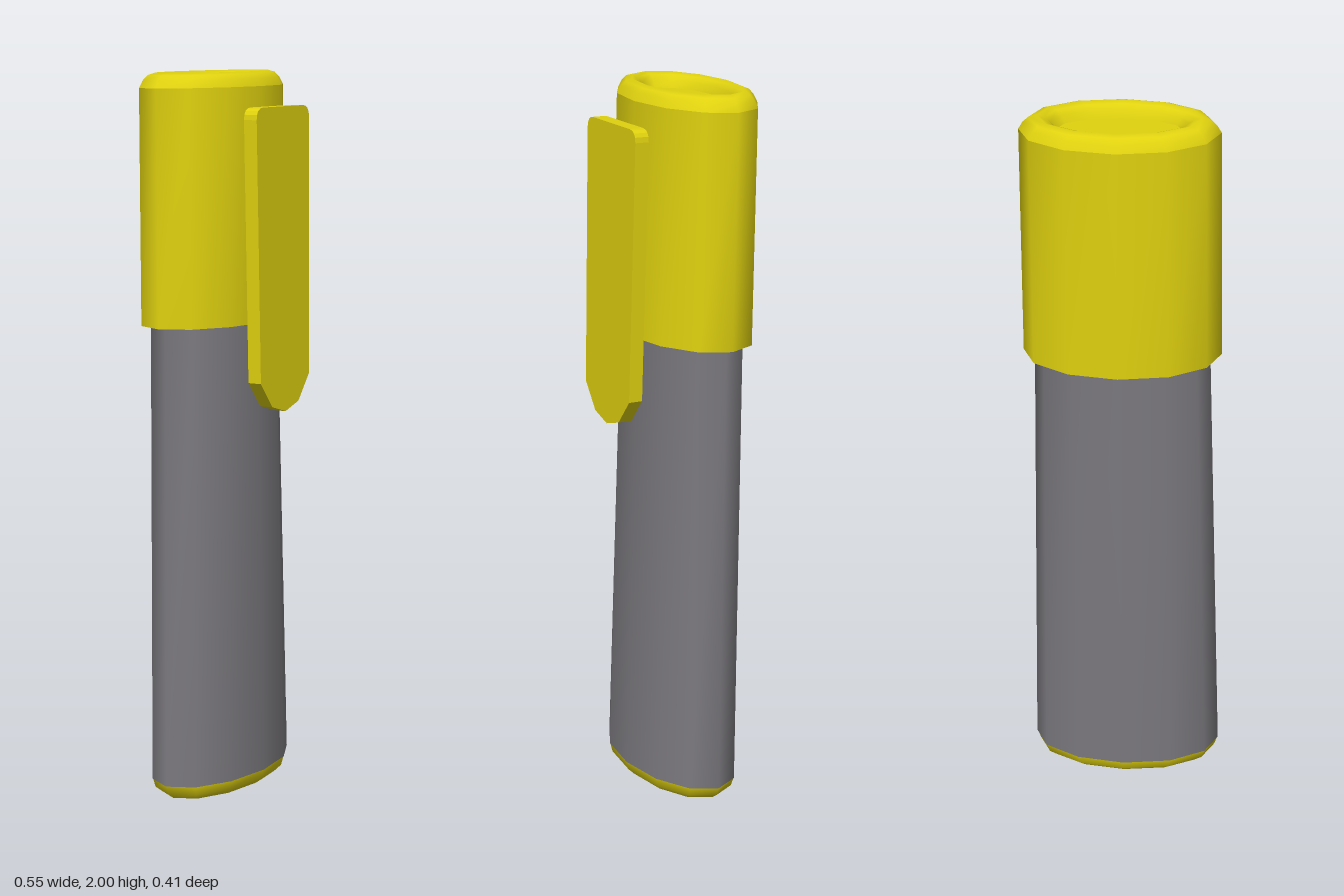
import * as THREE from 'three';
import { mergeGeometries } from 'three/addons/utils/BufferGeometryUtils.js';

const SIDES = 12;

// Smooth strip through elliptical rings [halfX, halfZ, y]
function strip(rings) {
  const pos = [], index = [];
  for (const [a, b, y] of rings) {
    for (let i = 0; i < SIDES; i++) {
      const t = (i / SIDES) * Math.PI * 2;
      pos.push(a * Math.cos(t), y, b * Math.sin(t));
    }
  }
  for (let r = 0; r < rings.length - 1; r++) {
    for (let i = 0; i < SIDES; i++) {
      const p = r * SIDES + i, q = r * SIDES + ((i + 1) % SIDES);
      index.push(p, p + SIDES, q, q, p + SIDES, q + SIDES);
    }
  }
  const g = new THREE.BufferGeometry();
  g.setAttribute('position', new THREE.Float32BufferAttribute(pos, 3));
  g.setIndex(index);
  g.computeVertexNormals();
  return g;
}

// Several strips meeting at sharp edges
const loft = (...strips) => mergeGeometries(strips.map(strip));

export function createModel() {
  const yellow = new THREE.MeshStandardMaterial({ color: 0xe0d20f });
  yellow.name = 'yellow plastic';
  const grey = new THREE.MeshStandardMaterial({ color: 0x7b797e });
  grey.name = 'grey barrel';

  const pen = new THREE.Group();
  pen.name = 'highlighterPen';
  const add = (name, geometry, material) => {
    const mesh = new THREE.Mesh(geometry, material);
    mesh.name = name;
    pen.add(mesh);
    return mesh;
  };

  // Tapered barrel
  add('barrel', loft([[0.268, 0.145, 0.05], [0.237, 0.14, 1.34]]), grey);

  // Rounded end plug
  add('endPlug', loft(
    [[0, 0, 0], [0.2, 0.095, 0]],
    [[0.2, 0.095, 0], [0.235, 0.12, 0.008], [0.258, 0.138, 0.025], [0.266, 0.144, 0.05]],
    [[0.266, 0.144, 0.05], [0, 0, 0.05]],
  ), yellow);

  // Cap: lower lip, sleeve, rolled rim and sunken top
  add('cap', loft(
    [[0.23, 0.13, 1.32], [0.268, 0.165, 1.32]],
    [[0.268, 0.165, 1.32], [0.262, 0.16, 1.955]],
    [[0.262, 0.16, 1.955], [0.25, 0.15, 1.975], [0.235, 0.138, 1.988], [0.213, 0.121, 1.994],
      [0.193, 0.106, 1.988], [0.178, 0.095, 1.975], [0.167, 0.087, 1.955]],
    [[0.167, 0.087, 1.955], [0, 0, 1.955]],
  ), yellow);

  // Clip plate with rounded top corners and a blunt tip
  const s = new THREE.Shape();
  s.moveTo(0, 1.08);
  s.lineTo(0.065, 1.1);
  s.lineTo(0.12, 1.17);
  s.lineTo(0.128, 1.87);
  s.quadraticCurveTo(0.128, 1.902, 0.096, 1.902);
  s.lineTo(-0.096, 1.902);
  s.quadraticCurveTo(-0.128, 1.902, -0.128, 1.87);
  s.lineTo(-0.12, 1.17);
  s.lineTo(-0.065, 1.1);
  s.closePath();
  const plate = new THREE.ExtrudeGeometry(s, { depth: 0.04, bevelEnabled: false, curveSegments: 4 });
  add('clip', plate, yellow).position.z = 0.188;

  // Bridge joining clip and cap
  add('clipBridge', new THREE.BoxGeometry(0.07, 0.1, 0.06), yellow).position.set(0, 1.75, 0.172);

  // Slight lean and turn
  pen.rotation.set(-0.021, 0.046, -0.008);
  pen.position.set(-0.006, 0.005, 0);

  const model = new THREE.Group();
  model.name = 'highlighter';
  model.add(pen);
  return model;
}
